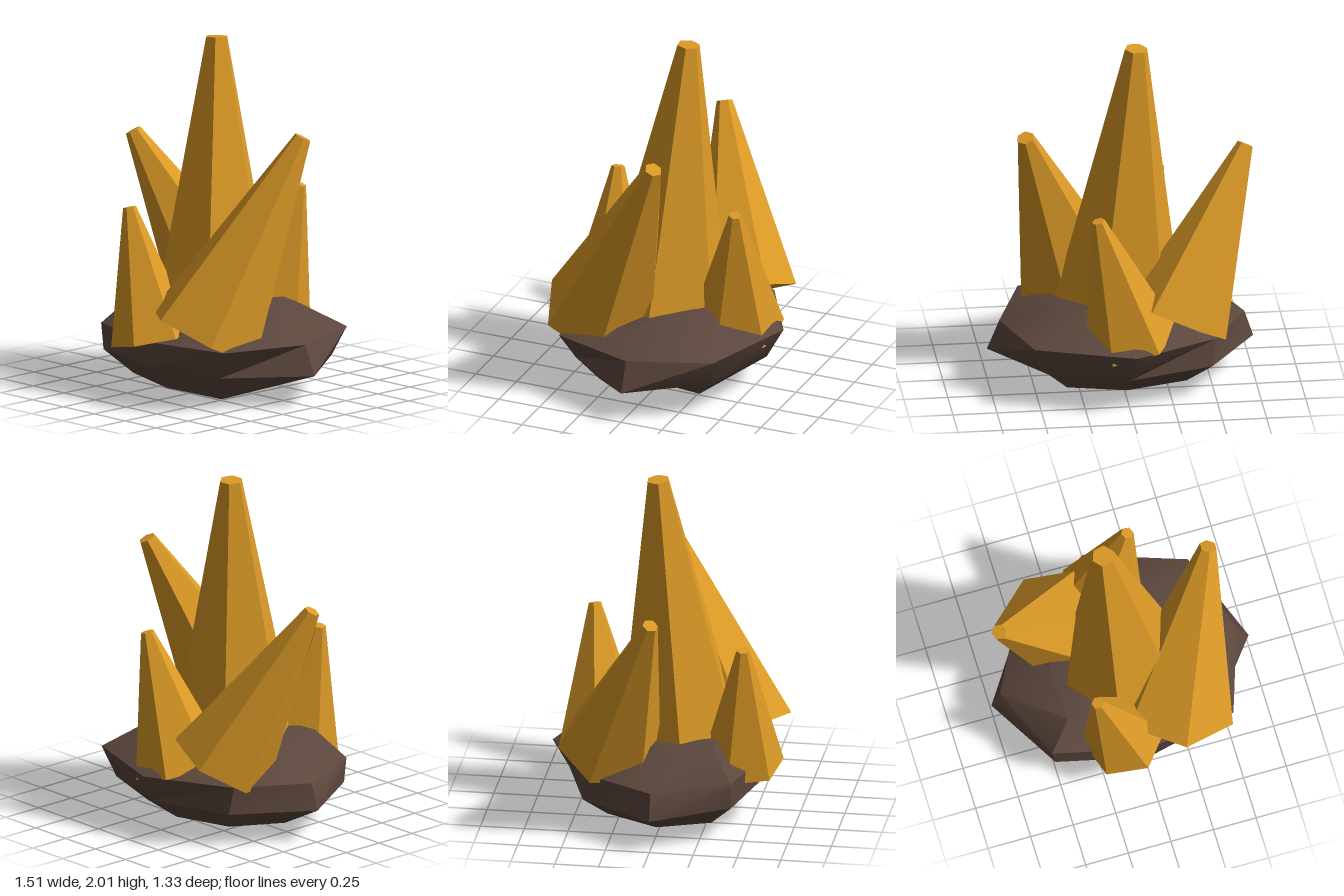
import * as THREE from 'three';
import { toCreasedNormals } from 'three/addons/utils/BufferGeometryUtils.js';

const gold = new THREE.MeshStandardMaterial({ color: 0xdc9a26, flatShading: true });
gold.name = 'amber crystal';
const stone = new THREE.MeshStandardMaterial({ color: 0x5c473d });
stone.name = 'brown rock';

// Six-sided tapered crystal from base centre to tip; one base corner points towards `corner`
function crystal(name, base, tip, baseRadius, tipRadius, corner) {
  const b = new THREE.Vector3(...base);
  const t = new THREE.Vector3(...tip);
  const axis = t.clone().sub(b);
  const length = axis.length();
  axis.normalize();
  const z = new THREE.Vector3(...corner).sub(b).projectOnPlane(axis).normalize();
  const x = axis.clone().cross(z);
  const geo = new THREE.CylinderGeometry(tipRadius, baseRadius, length, 6, 1);
  geo.applyMatrix4(new THREE.Matrix4().makeBasis(x, axis, z).setPosition(b.add(t).multiplyScalar(0.5)));
  const mesh = new THREE.Mesh(geo, gold);
  mesh.name = name;
  return mesh;
}

// Rough rock: rings of eight corners from bottom to top, closed by two poles
function rock() {
  const rings = [
    [[.36, .09, 0], [.33, .03, .32], [-.03, .05, .40], [-.40, .06, .30],
      [-.49, .05, 0], [-.35, .06, -.30], [0, .05, -.38], [.33, .05, -.30]],
    [[.75, .18, 0], [.42, .18, .42], [0, .20, .55], [-.51, .20, .43],
      [-.76, .19, 0], [-.48, .19, -.42], [0, .19, -.57], [.45, .19, -.43]],
    [[.68, .35, 0], [.52, .35, .48], [0, .34, .55], [-.53, .35, .43],
      [-.71, .34, 0], [-.50, .35, -.40], [-.03, .36, -.66], [.53, .36, -.47]],
    [[.45, .48, 0], [.32, .44, .20], [0, .48, .33], [-.40, .51, .31],
      [-.42, .50, 0], [-.31, .50, -.30], [0, .50, -.35], [.31, .50, -.28]],
  ];
  const bottom = [-.03, 0, 0];
  const top = [0, .5, 0];
  const pos = [];
  const tri = (a, b, c) => pos.push(...a, ...b, ...c);
  for (let i = 0; i < 8; i++) {
    const n = (i + 1) % 8;
    tri(bottom, rings[0][i], rings[0][n]);
    for (let j = 0; j < 3; j++) {
      const lo = rings[j], hi = rings[j + 1];
      tri(lo[i], hi[i], lo[n]);
      tri(lo[n], hi[i], hi[n]);
    }
    tri(rings[3][i], top, rings[3][n]);
  }
  const geo = new THREE.BufferGeometry();
  geo.setAttribute('position', new THREE.Float32BufferAttribute(pos, 3));
  const mesh = new THREE.Mesh(toCreasedNormals(geo, 0.6), stone);
  mesh.name = 'rockBase';
  return mesh;
}

export function createModel() {
  const model = new THREE.Group();
  model.name = 'crystalCluster';
  model.add(
    rock(),
    crystal('mainCrystal', [.01, .40, .06], [-.09, 2.0, -.05], .38, .065, [.25, .40, .35]),
    crystal('frontLeftCrystal', [.22, .38, .35], [.545, 1.51, -.11], .345, .05, [.49, .35, .58]),
    crystal('frontSmallCrystal', [-.11, .32, .43], [-.27, 1.065, .46], .24, .037, [-.03, .31, .65]),
    crystal('rightCrystal', [-.29, .43, -.30], [-.715, 1.365, 0], .30, .045, [-.41, .50, -.55]),
    crystal('backCrystal', [-.03, .35, -.37], [.17, 1.125, -.45], .27, .037, [.10, .27, -.60]),
  );
  return model;
}
